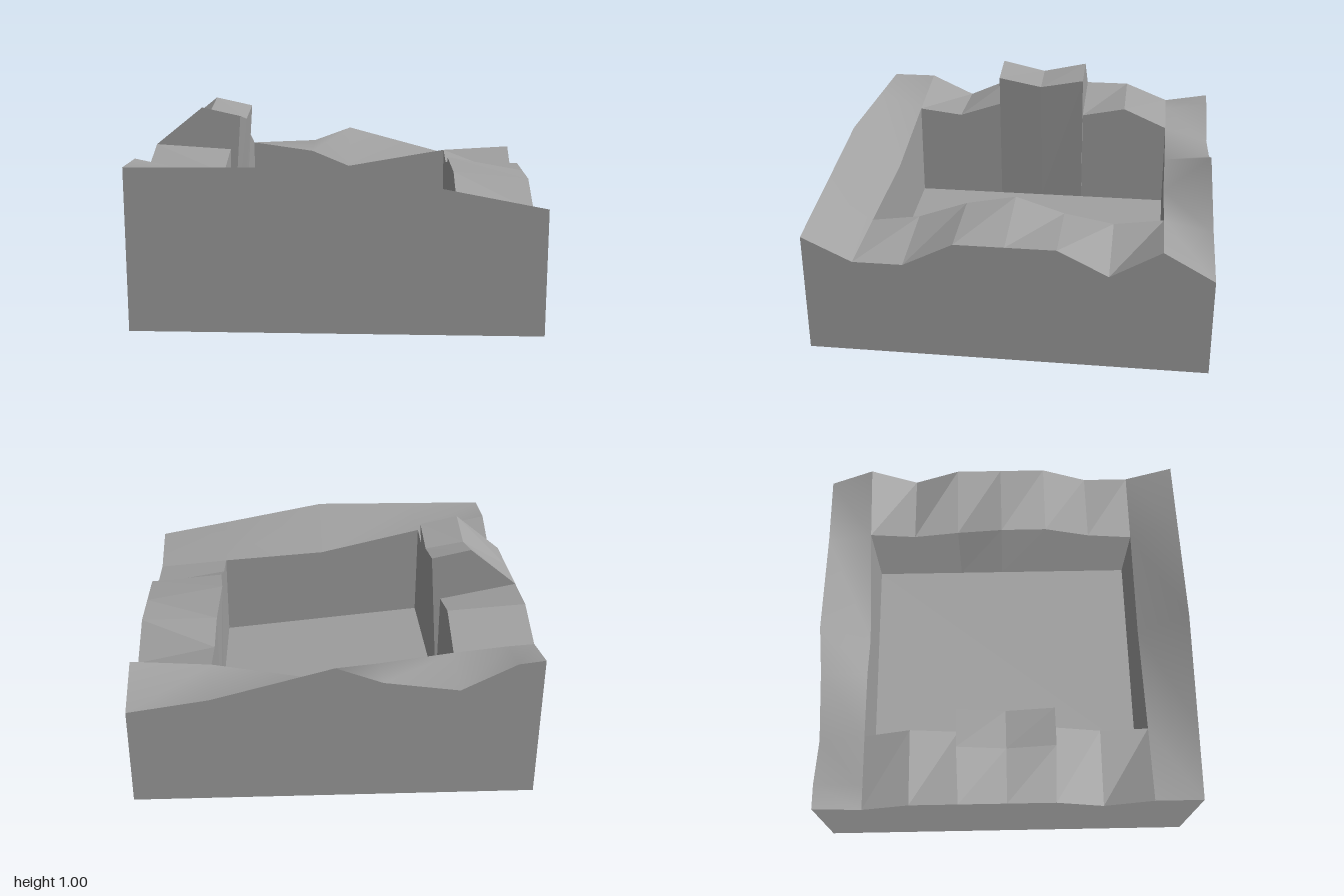
import * as THREE from 'three';

// Open sheets make up the block, so both sides are drawn.
const stone = new THREE.MeshStandardMaterial({ color: 0xa0a0a0, side: THREE.DoubleSide });
stone.name = 'stone grey';

// Heights [position, height] along each line of the terrain.
const outerLeft = [[-0.75, 0.7], [-0.5, 0.8], [-0.25, 0.8], [0, 0.8], [0.25, 0.8], [0.5, 0.69], [0.75, 0.805]];
const innerLeft = [[-0.75, 0.66], [-0.5, 0.77], [-0.25, 0.72], [0.25, 0.775], [0.5, 0.69], [0.75, 0.72]];
const innerRight = [[-0.75, 0.62], [-0.5, 0.585], [-0.25, 0.63], [0, 0.7], [0.25, 0.66], [0.5, 0.57], [0.75, 0.535]];
const outerRight = [[-0.75, 0.645], [-0.5, 0.5], [-0.25, 0.625], [0, 0.625], [0.25, 0.625], [0.5, 0.5], [0.75, 0.5]];
const frontEdge = [[-1, 0.805], [-0.6, 0.807], [0, 0.81], [0.6, 0.695], [1, 0.62]];
const frontRim = [[-1, 0.805], [-0.6, 0.72], [0, 0.58], [0.6, 0.535], [1, 0.5]];
const backRim = [[-1, 0.7], [-0.87, 0.69], [-0.6, 0.66], [-0.23, 0.608], [0, 0.513], [0.6, 0.62], [1, 0.645]];
const backEdge = [[-1, 0.743], [-0.87, 0.726], [-0.6, 0.59], [-0.23, 0.64], [0, 0.725], [0.6, 0.565], [1, 0.504]];

const alongZ = (x, line) => line.map(([z, y]) => [x, y, z]);
const alongX = (z, line) => line.map(([x, y]) => [x, y, z]);
const floorY = (x) => 0.12 - 0.1 * x;
const toGround = (row) => row.map(([x, , z]) => [x, 0, z]);
const toFloor = (row) => row.map(([x, , z]) => {
  const fx = Math.abs(x) > 0.5 ? 0.6 * Math.sign(x) : x;
  return [fx, floorY(fx), z];
});

export function createModel() {
  const model = new THREE.Group();
  model.name = 'terrainBlock';

  const add = (name, geometry) => {
    const mesh = new THREE.Mesh(geometry, stone);
    mesh.name = name;
    model.add(mesh);
  };

  // Sheet between two rows of points, counter-clockwise from a to b.
  const loft = (name, a, b, smooth = false) => {
    const n = a.length;
    const index = [];
    for (let i = 0; i < n - 1; i++) index.push(i, i + 1, n + i + 1, i, n + i + 1, n + i);
    let geometry = new THREE.BufferGeometry();
    geometry.setAttribute('position', new THREE.Float32BufferAttribute([...a, ...b].flat(), 3));
    geometry.setIndex(index);
    if (!smooth) geometry = geometry.toNonIndexed();
    geometry.computeVertexNormals();
    add(name, geometry);
  };

  const oL = alongZ(-1, outerLeft);
  const iL = alongZ(-0.6, innerLeft);
  const oR = alongZ(1, outerRight);
  const iR = alongZ(0.6, innerRight);
  iR[3][0] = 0.58; // slight overhang in the middle of the rim
  const fE = alongX(1, frontEdge);
  const fR = alongX(0.75, frontRim);
  const bR = alongX(-0.75, backRim);
  const bE = alongX(-1, backEdge);

  // Ground around the pit
  loft('frontGround', fE, fR, true);
  loft('backGround', bR, bE, true);
  loft('rightGround', iR, oR);
  loft('leftGroundBack', oL.slice(0, 3), iL.slice(0, 3));
  loft('leftGroundFront', oL.slice(4), iL.slice(3));

  // Raised outcrop leaning over the pit
  const ridge = alongZ(-0.75, [[-0.25, 1], [0, 0.945], [0.25, 1]]);
  const brow = alongZ(-0.545, [[-0.25, 0.955], [0, 0.908], [0.25, 0.955]]);
  loft('outcropSlope', oL.slice(2, 5), ridge);
  loft('outcropTop', ridge, brow);
  for (const [z, y] of [[0.25, 0.775], [-0.25, 0.72]]) {
    const side = new THREE.Shape([
      [-1, 0.8], [-0.6, y], [-0.6, floorY(-0.6)], [-0.545, 0.955], [-0.75, 1],
    ].map(([px, py]) => new THREE.Vector2(px, py)));
    const geometry = new THREE.ShapeGeometry(side);
    if (z < 0) { // turn the back side to face outwards
      const ids = geometry.index.array;
      for (let i = 0; i < ids.length; i += 3) [ids[i], ids[i + 1]] = [ids[i + 1], ids[i]];
      geometry.computeVertexNormals();
    }
    add(z > 0 ? 'outcropFrontSide' : 'outcropBackSide', geometry.translate(0, 0, z));
  }

  // Pit walls and floor
  const wall = (name, top) => loft(name, toFloor(top), top);
  wall('pitWallLeftFront', iL.slice(3).reverse());
  wall('pitWallOutcrop', brow.slice().reverse());
  wall('pitWallLeftBack', iL.slice(0, 3).reverse());
  wall('pitWallRight', iR);
  wall('pitWallBack', bR.slice(2, 6));
  wall('pitWallFront', fR.slice(1, 4).reverse());
  const floorRow = (z) => [-0.6, 0.6].map((x) => [x, floorY(x), z]);
  loft('pitFloor', floorRow(0.75), floorRow(-0.75));

  // Outer sides and base
  const skirt = (name, top) => loft(name, toGround(top), top);
  skirt('frontSide', fE);
  skirt('backSide', bE.slice().reverse());
  skirt('rightSide', [fE[4], ...oR.slice().reverse(), bE[6]]);
  skirt('leftSide', [bE[0], ...oL, fE[0]]);
  loft('base', [[-1, 0, -1], [1, 0, -1]], [[-1, 0, 1], [1, 0, 1]]);

  return model;
}
